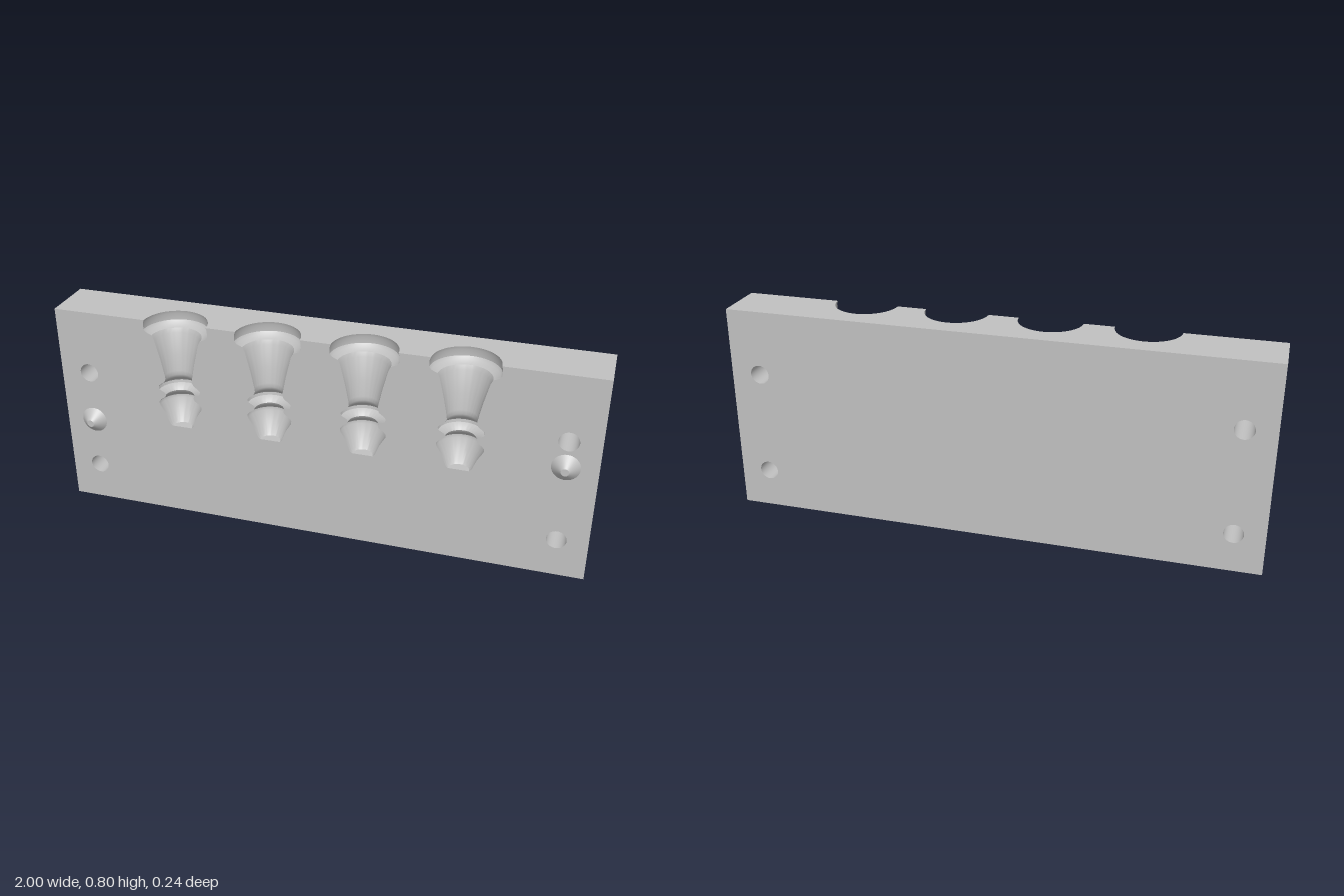
import * as THREE from 'three';
import { mergeGeometries, toCreasedNormals } from 'three/addons/utils/BufferGeometryUtils.js';

const H = 0.797, FRONT = 0.082, BACK = -0.118, DEPTH = FRONT - BACK;
const CAVITY_X = [-0.524, -0.175, 0.175, 0.524];
const HOLE_X = 0.888, HOLE_R = 0.036;
// half-profile of one cavity: [radius, height], bottom to top
const PROFILE = [
  [0, 0.376], [0.038, 0.376], [0.046, 0.384], [0.062, 0.425], [0.083, 0.46], [0.084, 0.472],
  [0.076, 0.482], [0.058, 0.495], [0.054, 0.505], [0.06, 0.513], [0.08, 0.524], [0.082, 0.535],
  [0.076, 0.543], [0.058, 0.556], [0.052, 0.57], [0.054, 0.585], [0.066, 0.645], [0.086, 0.725],
  [0.094, 0.741], [0.116, 0.751], [0.123, 0.761], [0.123, 0.785], [0.119, H],
];
const MOUTH_R = PROFILE[PROFILE.length - 1][0];

export function createModel() {
  const model = new THREE.Group();
  const grey = new THREE.MeshStandardMaterial({ color: 0xc0c0c0, side: THREE.DoubleSide });
  grey.name = 'grey';
  const add = (name, geometry, x = 0, y = 0, z = 0) => {
    const mesh = new THREE.Mesh(geometry, grey);
    mesh.name = name;
    mesh.position.set(x, y, z);
    model.add(mesh);
    return mesh;
  };

  const holes = [];
  for (const x of [-HOLE_X, HOLE_X]) for (const y of [0.15, 0.55]) holes.push([x, y]);
  const pierce = (shape) => {
    for (const [x, y] of holes) shape.holes.push(new THREE.Path().absarc(x, y, HOLE_R, 0, Math.PI * 2, true));
    return shape;
  };

  // front face, cut away along each cavity outline
  const front = new THREE.Shape().moveTo(-1, 0).lineTo(1, 0).lineTo(1, H);
  for (const c of [...CAVITY_X].reverse()) {
    for (const [r, y] of [...PROFILE].reverse()) front.lineTo(c + r, y);
    for (const [r, y] of PROFILE.slice(1)) front.lineTo(c - r, y);
  }
  front.lineTo(-1, H);
  add('frontFace', new THREE.ShapeGeometry(pierce(front), 16), 0, 0, FRONT);

  // back face
  const back = new THREE.Shape().moveTo(-1, 0).lineTo(1, 0).lineTo(1, H).lineTo(-1, H);
  const backFace = new THREE.ShapeGeometry(pierce(back), 16).rotateY(Math.PI);
  add('backFace', backFace, 0, 0, BACK);

  // top face with the half-round cavity mouths
  const top = new THREE.Shape().moveTo(-1, -FRONT);
  for (const c of CAVITY_X) {
    top.lineTo(c - MOUTH_R, -FRONT);
    top.absarc(c, -FRONT, MOUTH_R, Math.PI, 0, true);
  }
  top.lineTo(1, -FRONT).lineTo(1, -BACK).lineTo(-1, -BACK);
  add('topFace', new THREE.ShapeGeometry(top, 16).rotateX(-Math.PI / 2), 0, H, 0);

  // ends and underside
  const midZ = (FRONT + BACK) / 2;
  add('endsAndBase', mergeGeometries([
    new THREE.PlaneGeometry(DEPTH, H).rotateY(Math.PI / 2).translate(1, H / 2, midZ),
    new THREE.PlaneGeometry(DEPTH, H).rotateY(-Math.PI / 2).translate(-1, H / 2, midZ),
    new THREE.PlaneGeometry(2, DEPTH).rotateX(Math.PI / 2).translate(0, 0, midZ),
  ]));

  // bolt hole walls
  const wall = new THREE.CylinderGeometry(HOLE_R, HOLE_R, DEPTH, 32, 1, true).rotateX(Math.PI / 2);
  for (const [x, y] of holes) add('boltHole', wall, x, y, midZ);

  // half-turned casting cavities
  const points = PROFILE.map(([r, y]) => new THREE.Vector2(r, y));
  const cavity = toCreasedNormals(new THREE.LatheGeometry(points, 32, Math.PI / 2, Math.PI), 0.6);
  for (const x of CAVITY_X) add('cavity', cavity, x, 0, FRONT);

  // conical locating pegs
  const pegH = 0.118 - FRONT;
  const peg = new THREE.CylinderGeometry(0.014, 0.05, pegH, 40).rotateX(Math.PI / 2);
  add('rightPeg', peg, -HOLE_X, 0.35, FRONT + pegH / 2);
  add('leftPeg', peg, HOLE_X, 0.45, FRONT + pegH / 2);

  return model;
}
